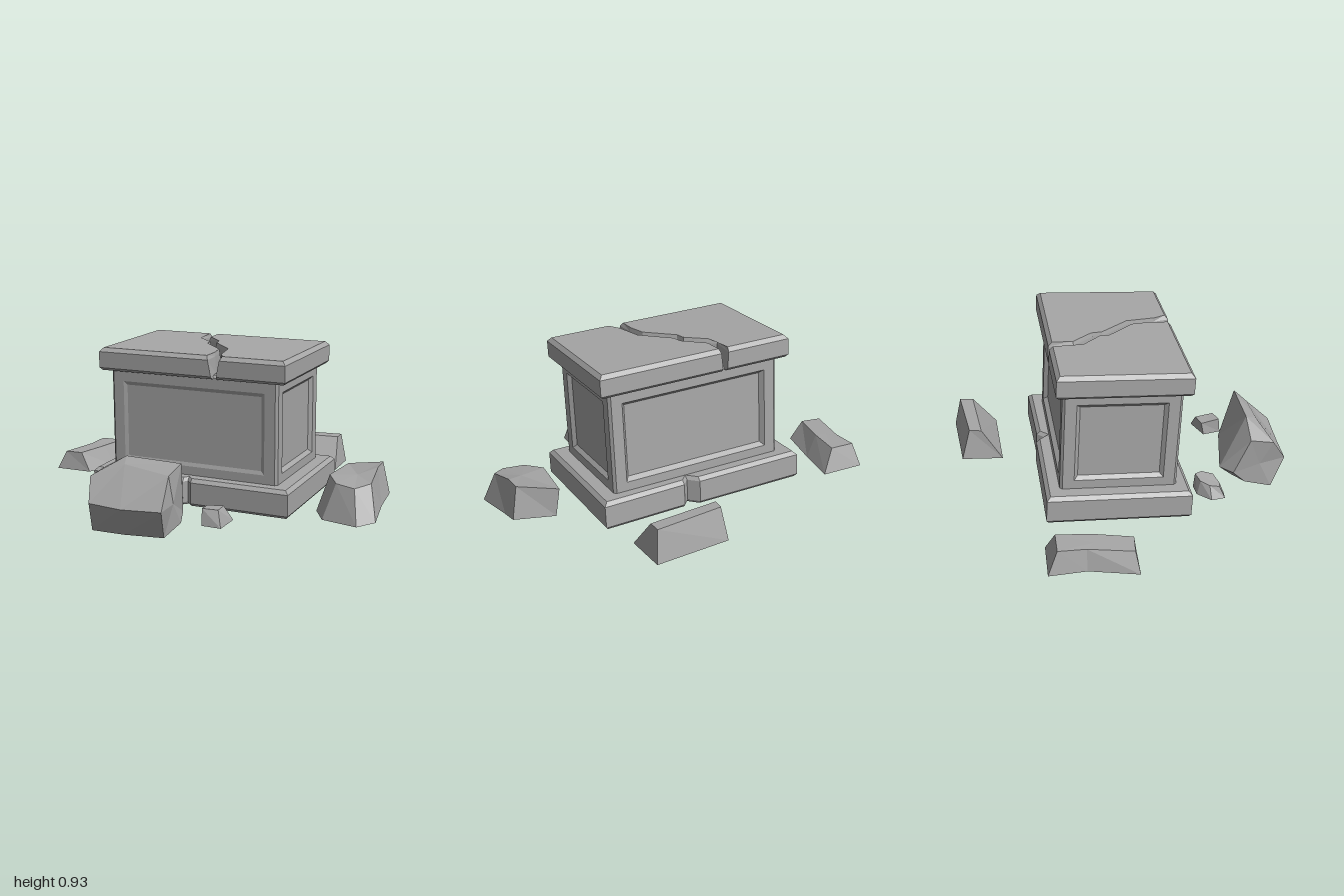
import * as THREE from 'three';

const stone = new THREE.MeshStandardMaterial({ color: 0xa6a6a6 });
stone.name = 'grey stone';

// Closed flat-shaded solid through rings of [x, y, z] points, capped at both ends
function loft(name, rings) {
  const tris = [];
  const n = rings[0].length;
  for (let r = 0; r < rings.length - 1; r++) {
    for (let i = 0; i < n; i++) {
      const j = (i + 1) % n;
      const [a, b, c, d] = [rings[r][i], rings[r][j], rings[r + 1][j], rings[r + 1][i]];
      tris.push([a, b, c], [a, c, d]);
    }
  }
  const cap = (ring, flip) => {
    const mid = [0, 1, 2].map((k) => ring.reduce((s, p) => s + p[k], 0) / n);
    for (let i = 0; i < n; i++) {
      const a = ring[i], b = ring[(i + 1) % n];
      tris.push(flip ? [mid, b, a] : [mid, a, b]);
    }
  };
  cap(rings[0], true);
  cap(rings[rings.length - 1], false);
  // Turn the faces outwards whichever way the rings run
  let volume = 0;
  for (const [a, b, c] of tris) {
    volume += a[0] * (b[1] * c[2] - b[2] * c[1]) + a[1] * (b[2] * c[0] - b[0] * c[2]) + a[2] * (b[0] * c[1] - b[1] * c[0]);
  }
  if (volume < 0) tris.forEach((t) => t.reverse());
  const geo = new THREE.BufferGeometry();
  geo.setAttribute('position', new THREE.Float32BufferAttribute(tris.flat(2), 3));
  geo.computeVertexNormals();
  const mesh = new THREE.Mesh(geo, stone);
  mesh.name = name;
  return mesh;
}

// Plinth with a cracked notch in the front and back edges
function makeBase() {
  const hx = 0.59, hz = 0.39;
  const ring = (y, inset) => {
    const x = hx - inset, z = hz - inset;
    return [
      [-x, y, -z], [0.03, y, -z], [0.08, y, -z + 0.055], [0.12, y, -z + 0.01], [x, y, -z],
      [x, y, z], [0.02, y, z], [-0.01, y, z - 0.03], [-0.03, y, z - 0.005], [-x, y, z],
    ];
  };
  return loft('base', [ring(0, 0.012), ring(0.015, 0), ring(0.135, 0), ring(0.155, 0.02)]);
}

// One wall with a sunken panel, facing +z
function makeWall(name, width, depth) {
  const y0 = 0.13, y1 = 0.73;
  const rect = (inset, z) => {
    const x = width / 2 - inset;
    return [[-x, y0 + inset, z], [x, y0 + inset, z], [x, y1 - inset, z], [-x, y1 - inset, z]];
  };
  return loft(name, [rect(0, -0.06), rect(0, -0.014), rect(0.014, 0), rect(0.075, 0), rect(0.095, -depth)]);
}

function makeBody() {
  const body = new THREE.Group();
  body.name = 'body';
  const w = 1.0, d = 0.63;
  const walls = [
    ['frontWall', w, d / 2, 0, 0.008], ['rightWall', d, w / 2, 1, 0.02],
    ['backWall', w, d / 2, 2, 0.025], ['leftWall', d, w / 2, 3, 0.02],
  ];
  for (const [name, width, dist, turn, depth] of walls) {
    const wall = makeWall(name, width, depth);
    wall.rotation.y = turn * Math.PI / 2;
    wall.position.set(Math.sin(wall.rotation.y) * dist, 0, Math.cos(wall.rotation.y) * dist);
    body.add(wall);
  }
  return body;
}

// Lid split in two by a jagged crack that narrows downwards
function makeLid() {
  const lid = new THREE.Group();
  lid.name = 'lid';
  const hx = 0.555, hz = 0.355;
  // left edge x, right edge x, left z, right z, from back to front
  const crack = [
    [-0.19, -0.137, -hz, -hz], [-0.207, -0.133, -0.207, -0.223], [-0.068, -0.03, -0.071, -0.112],
    [-0.059, -0.019, -0.016, -0.052], [0.079, 0.122, 0.131, 0.105],
    [0.1, 0.155, 0.235, 0.268], [0.1, 0.19, hz, hz],
  ];
  for (const side of [0, 1]) {
    const ring = (y, inset, open) => {
      const x = (side ? 1 : -1) * (hx - inset), z = hz - inset, k = 0.012;
      const edge = crack.map((c) => {
        const mx = (c[0] + c[1]) / 2 + (side ? k : -k), mz = (c[2] + c[3]) / 2;
        const pz = THREE.MathUtils.lerp(mz, c[2 + side], open);
        return [THREE.MathUtils.lerp(mx, c[side], open), y, THREE.MathUtils.clamp(pz, -z, z)];
      });
      return [...edge, [x, y, z], [x, y, -z]];
    };
    lid.add(loft(side ? 'lidRightHalf' : 'lidLeftHalf', [
      ring(0.715, 0.014, 0), ring(0.73, 0, 0.1), ring(0.82, 0, 0.65), ring(0.842, 0.02, 1),
    ]));
  }
  return lid;
}

export function createModel() {
  const model = new THREE.Group();
  model.name = 'brokenPedestal';

  // Pedestal, turned and leaning slightly forward
  const lean = new THREE.Group();
  lean.name = 'pedestal';
  lean.position.set(0.012, 0.06, -0.142);
  lean.rotation.x = 0.063;
  const turn = new THREE.Group();
  turn.name = 'pedestalParts';
  turn.rotation.y = -0.345;
  turn.add(makeBase(), makeBody(), makeLid());
  lean.add(turn);
  model.add(lean);

  // Fallen blocks
  model.add(loft('backLeftBlock', [
    [[-0.79, 0.08, -0.88], [-0.565, 0.075, -0.79], [-0.67, 0.075, -0.59], [-0.785, 0.08, -0.38], [-1, 0.08, -0.47], [-0.85, 0.08, -0.69]],
    [[-0.78, 0.205, -0.82], [-0.65, 0.205, -0.77], [-0.73, 0.2, -0.6], [-0.84, 0.19, -0.42], [-0.945, 0.187, -0.47], [-0.825, 0.197, -0.68]],
  ]));
  model.add(loft('backRightBlock', [
    [[0.377, 0.105, -0.865], [0.783, 0.1, -0.75], [0.71, 0.09, -0.515], [0.297, 0.09, -0.65]],
    [[0.38, 0.28, -0.81], [0.75, 0.275, -0.72], [0.725, 0.27, -0.65], [0.35, 0.275, -0.75]],
  ]));
  model.add(loft('rightBlock', [
    [[0.79, 0.08, -0.02], [0.995, 0.1, 0.09], [0.944, 0.06, 0.22], [0.896, 0.03, 0.466], [0.794, 0.015, 0.505], [0.618, 0.015, 0.37], [0.59, 0.03, 0.24]],
    [[0.77, 0.24, -0.03], [0.955, 0.28, 0.1], [0.92, 0.27, 0.2], [0.875, 0.22, 0.38], [0.785, 0.2, 0.42], [0.69, 0.21, 0.35], [0.66, 0.23, 0.22]],
  ]));
  model.add(loft('frontBlock', [
    [[-0.575, 0, 0.62], [-0.575, 0.165, 0.705], [-0.58, 0.29, 0.62], [-0.53, 0.31, 0.5], [-0.49, 0.1, 0.42], [-0.52, 0.04, 0.48]],
    [[-0.4, 0, 0.69], [-0.4, 0.155, 0.78], [-0.4, 0.355, 0.62], [-0.4, 0.385, 0.55], [-0.4, 0.1, 0.385], [-0.4, 0.03, 0.46]],
    [[-0.18, 0.01, 0.77], [-0.18, 0.168, 0.87], [-0.16, 0.32, 0.72], [-0.1, 0.375, 0.67], [-0.104, 0.1, 0.57], [-0.11, 0.05, 0.62]],
  ]));

  // Small chips
  model.add(loft('leftChip', [
    [[-0.61, 0.06, 0.2], [-0.52, 0.06, 0.16], [-0.445, 0.06, 0.18], [-0.44, 0.06, 0.24], [-0.485, 0.05, 0.305], [-0.57, 0.05, 0.305], [-0.62, 0.055, 0.28]],
    [[-0.57, 0.13, 0.21], [-0.52, 0.14, 0.18], [-0.455, 0.15, 0.185], [-0.45, 0.15, 0.23], [-0.49, 0.14, 0.28], [-0.56, 0.12, 0.28], [-0.59, 0.12, 0.26]],
  ]));
  model.add(loft('frontChip', [
    [[0.01, 0.05, 0.54], [0.155, 0.05, 0.54], [0.1, 0.04, 0.68], [0, 0.045, 0.65]],
    [[0.02, 0.125, 0.53], [0.105, 0.125, 0.54], [0.085, 0.13, 0.65], [0, 0.135, 0.64]],
  ]));
  return model;
}
